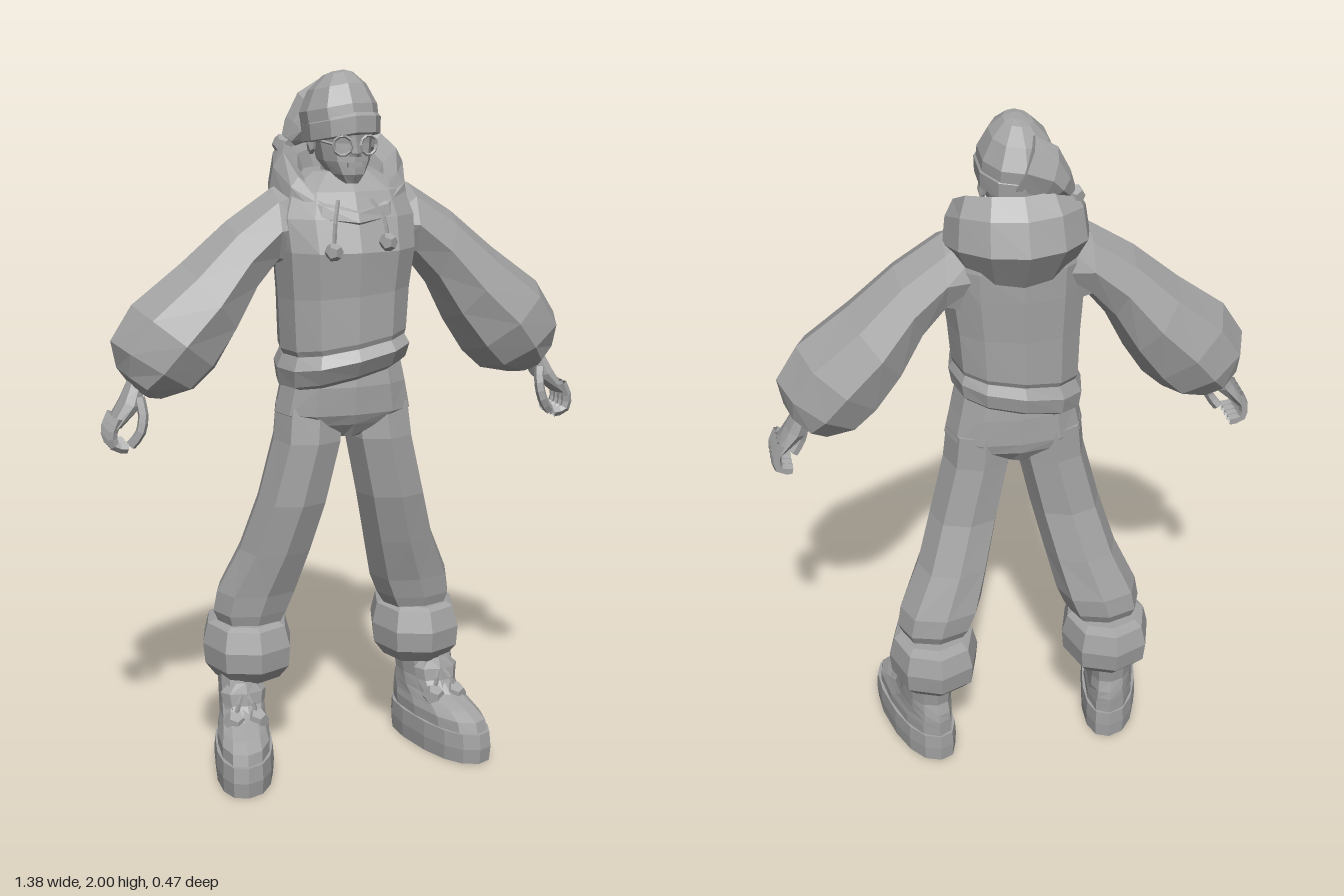
import * as THREE from 'three';

const V = (x, y, z) => new THREE.Vector3(x, y, z);
const grey = new THREE.MeshStandardMaterial({ color: 0xa3a3a3, flatShading: true, side: THREE.DoubleSide });
grey.name = 'plain grey';

function add(parent, name, geometry, pos) {
  const m = new THREE.Mesh(geometry, grey);
  m.name = name;
  if (pos) m.position.set(...pos);
  parent.add(m);
  return m;
}

// Skin a row of point loops, cap both ends, and turn all faces outward
function loft(rings) {
  const n = rings[0].length, pts = rings.flat(), idx = [];
  const mid = r => r.reduce((a, p) => a.add(p), V(0, 0, 0)).divideScalar(n);
  for (let i = 0; i < rings.length - 1; i++)
    for (let j = 0; j < n; j++) {
      const a = i * n + j, b = i * n + (j + 1) % n;
      idx.push(a, b, a + n, b, b + n, a + n);
    }
  const last = (rings.length - 1) * n, c0 = pts.length;
  pts.push(mid(rings[0]), mid(rings[rings.length - 1]));
  for (let j = 0; j < n; j++) {
    const k = (j + 1) % n;
    idx.push(c0, k, j, c0 + 1, last + j, last + k);
  }
  let volume = 0;
  for (let i = 0; i < idx.length; i += 3)
    volume += pts[idx[i]].dot(V(0, 0, 0).crossVectors(pts[idx[i + 1]], pts[idx[i + 2]]));
  if (volume < 0) idx.reverse();
  const g = new THREE.BufferGeometry().setFromPoints(pts);
  g.setIndex(idx);
  g.computeVertexNormals();
  return g;
}

// Level loop between x0..x1 and zBack..zFront; power < 1 makes it squarer
function ring(n, y, x0, x1, zf, zb, power = 1, tweak) {
  const sq = v => Math.sign(v) * Math.pow(Math.abs(v), power);
  return Array.from({ length: n }, (_, i) => {
    const a = i / n * Math.PI * 2;
    const p = V((x0 + x1) / 2 + (x1 - x0) / 2 * sq(Math.sin(a)), y, (zf + zb) / 2 + (zf - zb) / 2 * sq(Math.cos(a)));
    if (tweak) tweak(p, a);
    return p;
  });
}
const stack = (n, rows, power, tweak) => loft(rows.map(r => ring(n, ...r, power, tweak)));

// Loop whose highest and lowest points lie in the xy plane
function armRing(s, [ux, uy, lx, ly, zf, zb]) {
  return Array.from({ length: 8 }, (_, i) => {
    const a = i / 8 * Math.PI * 2, t = (1 - Math.cos(a)) / 2;
    return V(s * (ux + (lx - ux) * t), uy + (ly - uy) * t, (zf + zb) / 2 + (zf - zb) / 2 * Math.sin(a));
  });
}

const tube = (pts, r, sides = 5, seg = 6) =>
  new THREE.TubeGeometry(new THREE.CatmullRomCurve3(pts.map(p => V(...p))), seg, r, sides, false);

function buildArm(root, s) {
  const arm = new THREE.Group();
  arm.name = s > 0 ? 'leftArm' : 'rightArm';
  root.add(arm);
  // Ballooning sleeve gathered at the wrist
  add(arm, 'sleeve', loft([
    [0.08, 1.73, 0.13, 1.44, 0.09, -0.1],
    [0.2, 1.685, 0.2, 1.47, 0.105, -0.1],
    [0.33, 1.6, 0.255, 1.4, 0.12, -0.11],
    [0.46, 1.49, 0.31, 1.29, 0.145, -0.135],
    [0.6, 1.385, 0.37, 1.195, 0.16, -0.14],
    [0.66, 1.29, 0.43, 1.14, 0.14, -0.125],
    [0.645, 1.215, 0.52, 1.12, 0.1, -0.09],
    [0.61, 1.165, 0.56, 1.13, 0.07, -0.04],
  ].map(r => armRing(s, r))));
  // Palm with curled fingers and a thumb
  add(arm, 'palm', loft([
    [0.62, 1.18, 0.57, 1.16, 0.06, -0.02],
    [0.645, 1.13, 0.585, 1.11, 0.08, -0.025],
    [0.682, 1.065, 0.645, 1.06, 0.088, -0.022],
  ].map(r => armRing(s, r))));
  for (let i = 0; i < 4; i++) {
    const z = -0.006 + i * 0.027;
    add(arm, 'finger', tube([[s * 0.66, 1.09, z], [s * 0.678, 1.045, z], [s * 0.67, 1.012, z], [s * 0.635, 1.005, z]], 0.015));
  }
  add(arm, 'thumb', tube([[s * 0.595, 1.14, 0.06], [s * 0.59, 1.09, 0.075], [s * 0.6, 1.045, 0.08], [s * 0.625, 1.01, 0.07]], 0.015));
}

function buildLeg(root, s) {
  const leg = new THREE.Group();
  leg.name = s > 0 ? 'leftLeg' : 'rightLeg';
  root.add(leg);
  const mirror = p => { p.x *= s; };
  add(leg, 'trouserLeg', stack(8, [
    [1.08, 0.0, 0.195, 0.12, -0.09],
    [0.98, 0.008, 0.205, 0.13, -0.09],
    [0.8, 0.047, 0.25, 0.115, -0.1],
    [0.65, 0.083, 0.295, 0.08, -0.135],
    [0.52, 0.115, 0.355, 0.045, -0.165],
    [0.46, 0.14, 0.365, 0.035, -0.165],
    [0.41, 0.17, 0.345, 0.02, -0.14],
  ], 0.85, mirror));
  add(leg, 'furCuff', stack(8, [
    [0.43, 0.165, 0.36, 0.04, -0.18],
    [0.42, 0.145, 0.38, 0.06, -0.215],
    [0.36, 0.13, 0.395, 0.08, -0.23],
    [0.3, 0.135, 0.39, 0.075, -0.22],
    [0.26, 0.165, 0.36, 0.04, -0.18],
  ], 0.9, mirror));
  // Boot turned slightly outward
  const toeOut = p => { p.x = s * (p.x + 0.22 * p.z); };
  add(leg, 'sole', stack(14, [
    [0, 0.215, 0.385, 0.235, -0.17],
    [0.045, 0.212, 0.388, 0.24, -0.172],
    [0.09, 0.215, 0.385, 0.235, -0.17],
  ], 0.85, toeOut));
  add(leg, 'bootUpper', stack(12, [
    [0.09, 0.222, 0.378, 0.225, -0.165],
    [0.12, 0.222, 0.378, 0.215, -0.165],
    [0.14, 0.228, 0.372, 0.17, -0.165],
    [0.165, 0.232, 0.368, 0.09, -0.16],
    [0.2, 0.235, 0.368, 0.045, -0.15],
    [0.29, 0.23, 0.37, 0.025, -0.165],
  ], 0.85, toeOut));
  add(leg, 'tongue', stack(8, [
    [0.14, 0.25, 0.35, 0.09, 0.0],
    [0.2, 0.238, 0.362, 0.055, -0.02],
    [0.235, 0.232, 0.368, 0.05, -0.03],
    [0.265, 0.26, 0.34, 0.04, -0.02],
  ], 1, mirror));
  // Laces ending in bobbles
  for (const x of [0.275, 0.342]) {
    add(leg, 'lace', tube([[s * 0.305, 0.24, 0.03], [s * (x * 0.6 + 0.122), 0.215, 0.06], [s * x, 0.165, 0.065]], 0.007, 4));
    add(leg, 'laceBobble', new THREE.DodecahedronGeometry(0.035), [s * x, 0.16, 0.065]);
  }
}

function buildHead(root) {
  const head = new THREE.Group();
  head.name = 'head';
  root.add(head);
  add(head, 'neck', stack(8, [[1.58, -0.06, 0.06, 0.07, -0.06], [1.76, -0.055, 0.055, 0.06, -0.06]]));
  add(head, 'face', stack(10, [
    [1.7, -0.025, 0.025, 0.11, 0.05],
    [1.725, -0.048, 0.048, 0.125, -0.02],
    [1.76, -0.07, 0.07, 0.125, -0.07],
    [1.81, -0.078, 0.078, 0.122, -0.085],
    [1.87, -0.085, 0.085, 0.13, -0.09],
  ], 0.9));
  add(head, 'nose', stack(4, [
    [1.775, -0.018, 0.018, 0.142, 0.11],
    [1.785, -0.017, 0.017, 0.148, 0.11],
    [1.83, -0.008, 0.008, 0.13, 0.11],
  ]));
  add(head, 'lips', new THREE.BoxGeometry(0.04, 0.012, 0.016), [0, 1.752, 0.122]);
  // Round spectacles and ears
  for (const s of [-1, 1]) {
    const rim = add(head, 'spectacleRim', new THREE.TorusGeometry(0.026, 0.004, 4, 10), [s * 0.037, 1.805, 0.131]);
    rim.rotation.y = s * 0.25;
    add(head, 'spectacleArm', tube([[s * 0.062, 1.81, 0.125], [s * 0.08, 1.815, 0.07], [s * 0.085, 1.815, 0]], 0.004, 4));
    add(head, 'ear', new THREE.DodecahedronGeometry(0.02).scale(0.6, 1.4, 1), [s * 0.086, 1.8, 0.01]);
  }
  // Knitted cap with folded band, slumping tail and bobble
  const dip = p => { p.y += 0.12 * (p.z - 0.14) + 0.15 * Math.min(0, p.x); };
  add(head, 'capBand', stack(10, [
    [1.835, -0.095, 0.093, 0.135, -0.1],
    [1.84, -0.108, 0.102, 0.147, -0.112],
    [1.885, -0.112, 0.104, 0.145, -0.115],
    [1.895, -0.1, 0.095, 0.135, -0.105],
  ], 0.95, dip));
  add(head, 'cap', stack(10, [
    [1.87, -0.11, 0.1, 0.14, -0.112],
    [1.92, -0.115, 0.097, 0.13, -0.118],
    [1.975, -0.088, 0.068, 0.098, -0.09],
    [2.008, -0.05, 0.03, 0.058, -0.04],
    [2.014, -0.025, 0.008, 0.03, -0.01],
  ], 0.95, dip));
  add(head, 'capTail', loft([
    [-0.04, 1.97, 0.03, 1.82, 0.0, -0.13],
    [-0.1, 1.935, -0.05, 1.8, 0.0, -0.13],
    [-0.133, 1.87, -0.075, 1.8, -0.015, -0.12],
    [-0.148, 1.82, -0.11, 1.79, -0.035, -0.09],
  ].map(r => armRing(1, r))));
  add(head, 'capBobble', new THREE.DodecahedronGeometry(0.03), [-0.145, 1.795, -0.063]);
}

export function createModel() {
  const root = new THREE.Group();
  root.name = 'hoodedFigure';

  // Hips, and the shirt tail that comes to a point in front
  add(root, 'hips', stack(12, [
    [1.22, -0.165, 0.165, 0.13, -0.09],
    [1.14, -0.182, 0.182, 0.142, -0.098],
    [1.06, -0.2, 0.2, 0.138, -0.1],
    [1.03, -0.15, 0.15, 0.125, -0.095],
    [0.99, -0.04, 0.04, 0.1, -0.07],
  ], 0.8));

  // Loose top with a slanting lower edge
  const slant = p => { p.y += Math.max(0, 1.5 - p.y) * 0.65 * p.x; };
  add(root, 'torso', stack(12, [
    [1.23, -0.165, 0.165, 0.165, -0.105],
    [1.27, -0.185, 0.175, 0.18, -0.125],
    [1.4, -0.19, 0.185, 0.175, -0.125],
    [1.52, -0.2, 0.2, 0.185, -0.13],
    [1.61, -0.205, 0.205, 0.155, -0.13],
    [1.68, -0.18, 0.18, 0.125, -0.12],
    [1.73, -0.1, 0.1, 0.07, -0.09],
  ], 0.8, slant));
  add(root, 'hemBand', stack(12, [
    [1.165, -0.165, 0.16, 0.15, -0.105],
    [1.18, -0.19, 0.175, 0.175, -0.125],
    [1.225, -0.197, 0.182, 0.2, -0.135],
    [1.255, -0.18, 0.17, 0.175, -0.12],
  ], 0.8, slant));

  // Folded-down hood: high behind the neck, dipping to a V in front
  const hood = [ // rx, zFront, zBack, yBack, yFront
    [0.15, 0.13, -0.13, 1.57, 1.56], [0.2, 0.165, -0.205, 1.69, 1.6],
    [0.19, 0.155, -0.175, 1.78, 1.625], [0.165, 0.135, -0.125, 1.83, 1.635],
    [0.125, 0.11, -0.095, 1.78, 1.625], [0.08, 0.08, -0.07, 1.66, 1.59],
  ];
  add(root, 'hood', loft(hood.map(([rx, zf, zb, yb, yf]) => ring(12, 0, -rx, rx, zf, zb, 1, (p, a) => {
    const w = ((1 + Math.cos(a)) / 2) ** 2;
    p.y = yb + (yf - yb) * w;
  }))));

  // Drawstrings with beads
  for (const [x, y, x0] of [[-0.085, 1.53, -0.055], [0.07, 1.55, 0.04]]) {
    add(root, 'drawstring', tube([[x0, 1.66, 0.145], [x * 0.9, 1.61, 0.185], [x, y, 0.198]], 0.006, 4));
    add(root, 'drawstringBead', new THREE.DodecahedronGeometry(0.026), [x, y, 0.198]);
  }

  buildHead(root);
  for (const s of [1, -1]) {
    buildArm(root, s);
    buildLeg(root, s);
  }
  return root;
}
